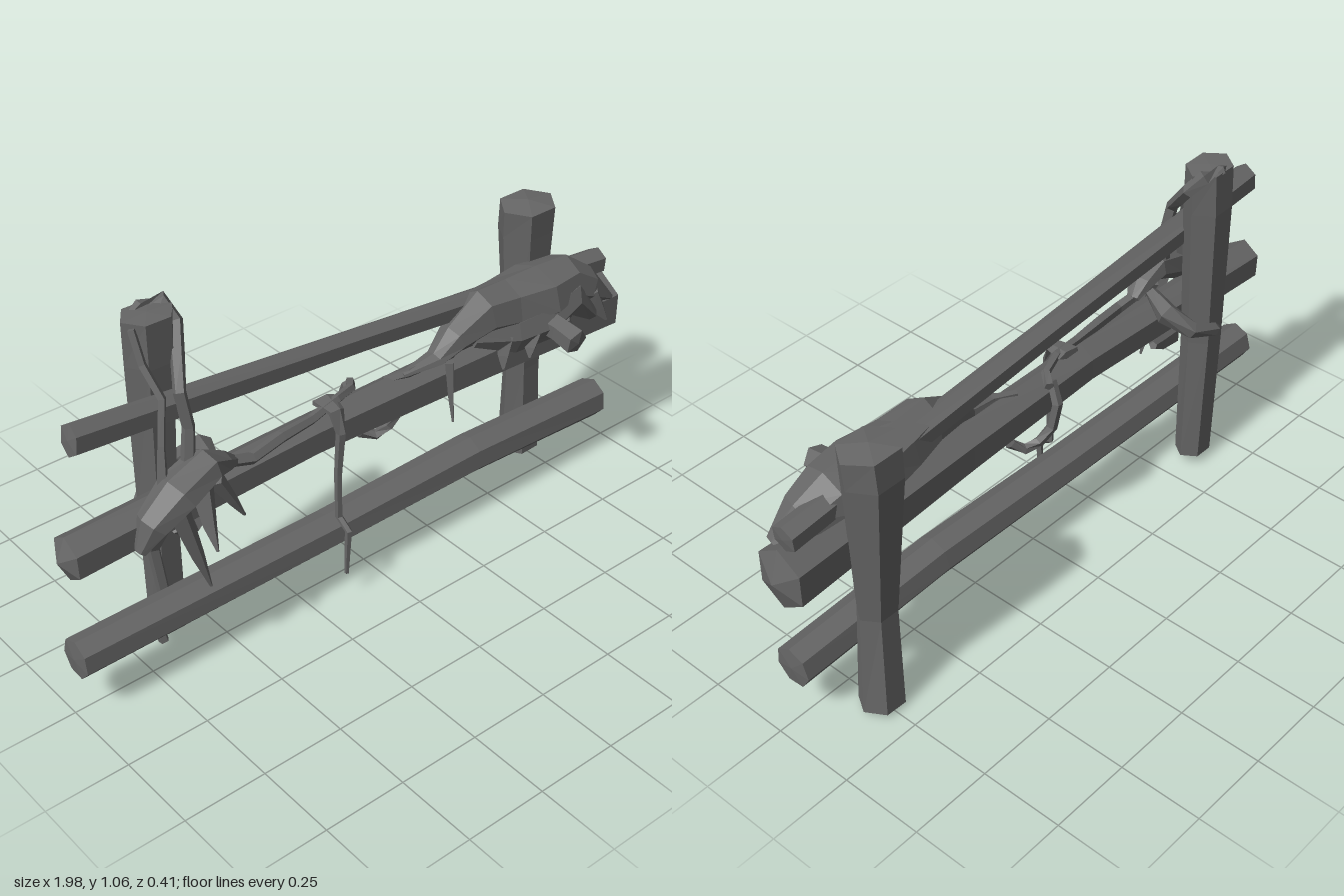
import * as THREE from 'three';

const stone = new THREE.MeshStandardMaterial({ color: 0x666666 });
stone.name = 'dark grey';

// Faceted loft. Stations are [x, y, z, radius along ref, radius across ref].
function loft(name, stations, { sides = 6, ref = [0, 0, 1], turn = 0, bulge = 0 } = {}) {
  const centres = stations.map((s) => new THREE.Vector3(s[0], s[1], s[2]));
  const last = centres.length - 1;
  const tangents = centres.map((_, i) => centres[Math.min(i + 1, last)].clone()
    .sub(centres[Math.max(i - 1, 0)]).normalize());
  const rings = centres.map((c, i) => {
    const t = tangents[i];
    const u = new THREE.Vector3(...ref);
    u.addScaledVector(t, -u.dot(t)).normalize();
    const v = t.clone().cross(u);
    const [, , , a, b = a] = stations[i];
    return Array.from({ length: sides }, (_, k) => {
      const w = turn + (k / sides) * Math.PI * 2;
      return c.clone().addScaledVector(u, a * Math.cos(w)).addScaledVector(v, b * Math.sin(w));
    });
  });
  const start = centres[0].clone().addScaledVector(tangents[0], -bulge);
  const end = centres[last].clone().addScaledVector(tangents[last], bulge);
  const tris = [];
  for (let k = 0; k < sides; k++) {
    const n = (k + 1) % sides;
    for (let i = 0; i < last; i++) {
      const p = rings[i], q = rings[i + 1];
      tris.push(p[k], p[n], q[n], p[k], q[n], q[k]);
    }
    tris.push(start, rings[0][n], rings[0][k], end, rings[last][k], rings[last][n]);
  }
  const g = new THREE.BufferGeometry().setFromPoints(tris);
  g.computeVertexNormals();
  const m = new THREE.Mesh(g, stone);
  m.name = name;
  return m;
}

// Hanging tapered tuft from a root point to a tip.
const spike = (name, root, tip, r) => loft(name, [
  [...root, r], [root[0] * 0.4 + tip[0] * 0.6, root[1] * 0.4 + tip[1] * 0.6, root[2] * 0.5 + tip[2] * 0.5, r * 0.6],
  [...tip, 0.004],
], { sides: 4, ref: [1, 0, 0] });

export function createModel() {
  const group = new THREE.Group();
  group.name = 'overgrownFence';
  const add = (...parts) => group.add(...parts);

  // Posts
  add(
    loft('rightPost', [
      [0.75, 0, -0.127, 0.068, 0.064], [0.735, 0.32, -0.118, 0.062, 0.052],
      [0.735, 0.78, -0.132, 0.09, 0.08], [0.735, 0.865, -0.128, 0.094, 0.078],
    ], { sides: 6, ref: [1, 0, 0], bulge: 0.012 }),
    loft('leftPost', [
      [-0.62, 0.02, -0.11, 0.06, 0.05], [-0.625, 0.45, -0.11, 0.062, 0.058],
      [-0.618, 0.9, -0.108, 0.075, 0.066], [-0.615, 1.03, -0.108, 0.078, 0.062],
    ], { sides: 6, ref: [1, 0, 0], bulge: 0.003 }),
  );

  // Rails
  add(
    loft('bottomRail', [
      [-0.985, 0.175, 0.008, 0.058, 0.06], [-0.15, 0.18, 0.01, 0.06, 0.058],
      [0.4, 0.192, 0.01, 0.062, 0.062], [0.93, 0.168, 0.008, 0.06, 0.064],
    ], { sides: 7, turn: 0.3, bulge: 0.006 }),
    loft('middleRail', [
      [-0.97, 0.495, -0.004, 0.062, 0.07], [-0.2, 0.525, 0, 0.056, 0.066],
      [0.3, 0.515, -0.004, 0.062, 0.078], [0.95, 0.507, -0.01, 0.085, 0.098],
    ], { sides: 6, turn: Math.PI / 6, bulge: 0.03 }),
    loft('topRail', [
      [-0.915, 0.822, -0.028, 0.04, 0.05], [0, 0.737, -0.028, 0.036, 0.04],
      [0.94, 0.642, -0.026, 0.042, 0.042],
    ], { sides: 6, turn: Math.PI / 6, bulge: 0.004 }),
  );

  // Large clump draped over the right end
  add(
    loft('rightClump', [
      [0.13, 0.59, 0.015, 0.012, 0.008], [0.24, 0.605, 0.025, 0.035, 0.018],
      [0.31, 0.64, 0.02, 0.05, 0.045], [0.42, 0.672, 0.01, 0.07, 0.08],
      [0.52, 0.66, 0.005, 0.085, 0.085], [0.65, 0.655, 0.005, 0.11, 0.088],
      [0.76, 0.66, 0.005, 0.09, 0.075], [0.83, 0.62, 0.025, 0.07, 0.06],
      [0.915, 0.565, 0.05, 0.03, 0.012],
    ], { sides: 7, turn: 0.2 }),
    loft('clumpFrontFold', [
      [0.36, 0.63, 0.06, 0.012, 0.02], [0.5, 0.6, 0.085, 0.028, 0.05],
      [0.63, 0.6, 0.09, 0.035, 0.055], [0.74, 0.63, 0.08, 0.03, 0.05],
      [0.82, 0.55, 0.08, 0.02, 0.02],
    ], { sides: 5 }),
    loft('brokenTwig', [
      [0.62, 0.605, 0.05, 0.04], [0.63, 0.595, 0.13, 0.036], [0.632, 0.583, 0.2, 0.04],
    ], { sides: 5, ref: [1, 0, 0], bulge: 0.008 }),
    spike('clumpTuft', [0.265, 0.6, 0.06], [0.262, 0.41, 0.085], 0.017),
    spike('clumpTuft', [0.47, 0.61, 0.07], [0.44, 0.52, 0.1], 0.035),
    spike('clumpTuft', [0.56, 0.59, 0.09], [0.53, 0.53, 0.115], 0.035),
    spike('clumpTuft', [0.68, 0.59, 0.09], [0.71, 0.53, 0.115], 0.035),
    spike('clumpTuft', [0.82, 0.62, 0.06], [0.865, 0.52, 0.1], 0.04),
  );

  // Clump in front of the left post
  add(
    loft('leftClump', [
      [-0.8, 0.475, 0.07, 0.02, 0.015], [-0.76, 0.545, 0.075, 0.05, 0.045],
      [-0.68, 0.605, 0.075, 0.068, 0.055], [-0.58, 0.64, 0.06, 0.06, 0.048],
      [-0.52, 0.615, 0.045, 0.04, 0.03], [-0.47, 0.59, 0.03, 0.02, 0.012],
    ], { sides: 7, turn: 0.2 }),
    spike('leftClumpTuft', [-0.69, 0.57, 0.09], [-0.61, 0.28, 0.1], 0.032),
    spike('leftClumpTuft', [-0.6, 0.58, 0.07], [-0.61, 0.42, 0.14], 0.035),
    spike('leftClumpTuft', [-0.55, 0.58, 0.06], [-0.47, 0.43, 0.07], 0.025),
    loft('backVineWrap', [
      [-0.52, 0.6, 0, 0.02], [-0.49, 0.58, -0.08, 0.035], [-0.53, 0.53, -0.145, 0.025],
      [-0.61, 0.5, -0.165, 0.02], [-0.68, 0.46, -0.11, 0.024], [-0.66, 0.42, -0.04, 0.022],
    ], { sides: 5, ref: [0, 1, 0] }),
    loft('underRailRoot', [
      [-0.66, 0.47, 0.03, 0.025], [-0.6, 0.41, -0.01, 0.035], [-0.52, 0.44, -0.03, 0.03],
      [-0.46, 0.47, -0.06, 0.012],
    ], { sides: 5 }),
  );

  // Vines climbing the left post
  add(
    loft('upperVine', [
      [-0.62, 0.62, 0.04, 0.022], [-0.6, 0.75, 0.025, 0.018], [-0.61, 0.85, 0.01, 0.018],
      [-0.57, 0.92, -0.05, 0.02], [-0.535, 0.98, -0.1, 0.02], [-0.55, 1.03, -0.14, 0.022],
      [-0.61, 1.03, -0.15, 0.016], [-0.66, 1.015, -0.135, 0.008],
    ], { sides: 5, ref: [1, 0, 0.2] }),
    loft('sideVine', [
      [-0.7, 0.6, 0.04, 0.018], [-0.685, 0.73, 0.025, 0.012], [-0.66, 0.85, 0.005, 0.012],
      [-0.675, 0.93, -0.05, 0.012], [-0.68, 1.02, -0.08, 0.012],
    ], { sides: 4, ref: [1, 0, 0] }),
    loft('lowerVine', [
      [-0.65, 0.46, -0.02, 0.022], [-0.675, 0.34, -0.07, 0.02], [-0.66, 0.18, -0.055, 0.018],
      [-0.68, 0.07, -0.075, 0.018], [-0.67, 0.012, -0.06, 0.015],
    ], { sides: 5, ref: [1, 0, 0] }),
  );

  // Vines along the middle rail
  add(
    loft('railVine', [
      [-0.52, 0.6, 0.03, 0.016], [-0.42, 0.578, 0.045, 0.018], [-0.31, 0.588, 0.03, 0.018],
      [-0.2, 0.59, 0.02, 0.015], [-0.1, 0.604, 0.005, 0.014], [-0.03, 0.598, -0.02, 0.014],
      [0.0, 0.585, -0.06, 0.015],
    ], { sides: 5 }),
    loft('railVineEnd', [
      [0.08, 0.58, -0.01, 0.012], [0.15, 0.59, 0.015, 0.015], [0.3, 0.605, 0.03, 0.02],
    ], { sides: 5 }),
    loft('hangingLoop', [
      [-0.02, 0.59, -0.05, 0.014], [-0.01, 0.53, -0.08, 0.016], [0.0, 0.45, -0.07, 0.016],
      [0.03, 0.405, -0.05, 0.016], [0.07, 0.39, -0.03, 0.016], [0.105, 0.42, -0.01, 0.016],
      [0.11, 0.47, 0.02, 0.012],
    ], { sides: 5 }),
    loft('hangingRoot', [
      [-0.13, 0.605, -0.02, 0.04, 0.012], [-0.135, 0.6, 0.045, 0.026, 0.012],
      [-0.135, 0.54, 0.065, 0.015], [-0.14, 0.4, 0.058, 0.012],
      [-0.137, 0.25, 0.056, 0.011], [-0.137, 0.222, 0.098, 0.011], [-0.14, 0.07, 0.092, 0.007],
    ], { sides: 5, ref: [1, 0, 0] }),
  );

  return group;
}
